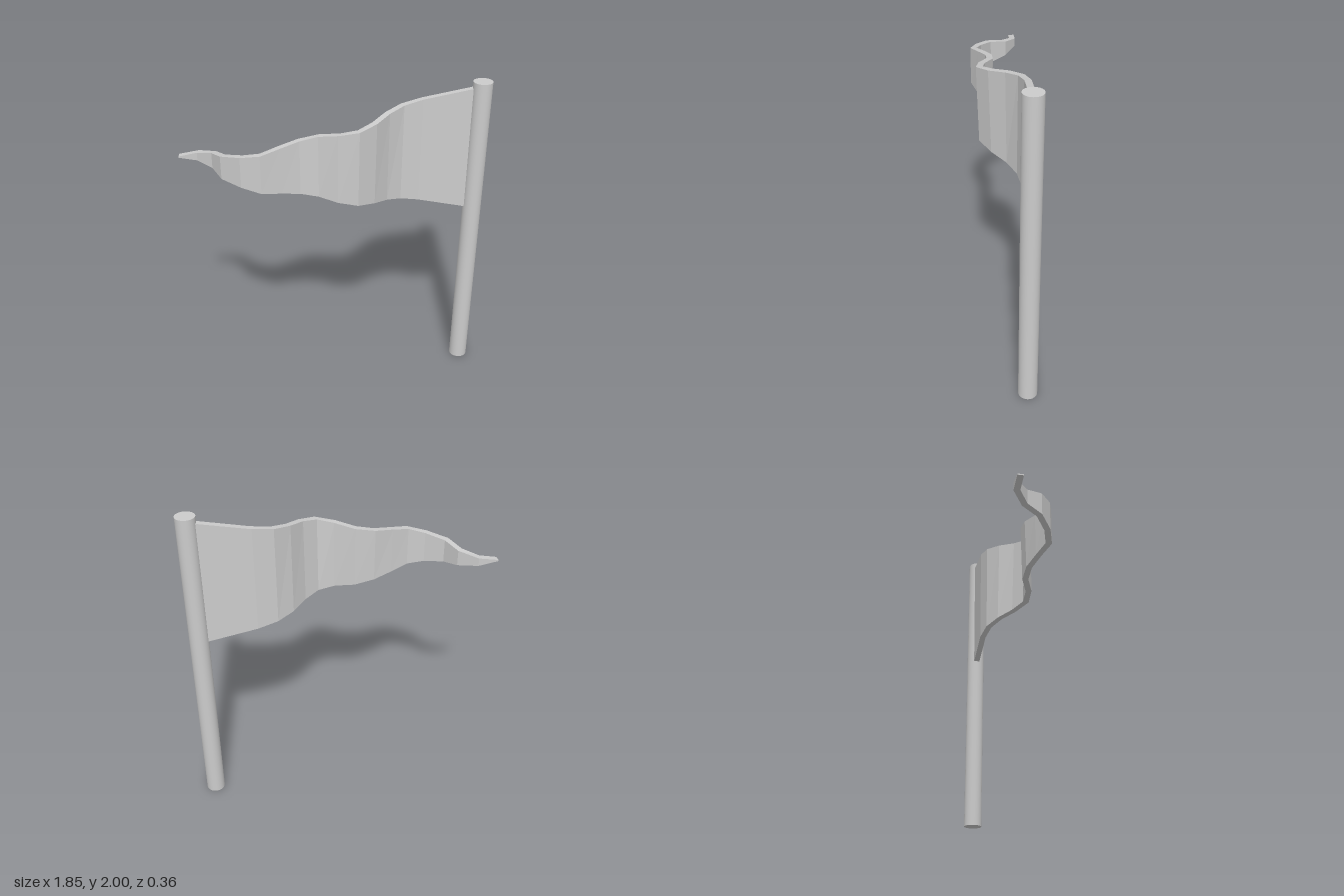
import * as THREE from 'three';

const HALF = 0.019; // half the cloth thickness

// Flag stations from the pole to the tip: x, z, top y, bottom y, z drift of the lower edge
const STATIONS = [
  [0.83, -0.037, 1.963, 1.181, 0.006],
  [0.52, -0.057, 1.902, 1.242, 0.004],
  [0.40, -0.04, 1.878, 1.266, 0.002],
  [0.30, 0.02, 1.856, 1.288, -0.008],
  [0.21, 0.104, 1.833, 1.313, -0.014],
  [0.11, 0.157, 1.81, 1.335, -0.012],
  [0.0, 0.132, 1.786, 1.357, 0.002],
  [-0.11, 0.073, 1.762, 1.379, 0.009],
  [-0.225, 0.068, 1.738, 1.403, 0.008],
  [-0.34, 0.102, 1.715, 1.427, 0.002],
  [-0.455, 0.137, 1.69, 1.451, 0],
  [-0.56, 0.097, 1.668, 1.477, 0],
  [-0.665, 0.018, 1.645, 1.5, 0],
  [-0.715, -0.085, 1.621, 1.524, 0],
  [-0.81, -0.157, 1.598, 1.548, 0],
  [-0.925, -0.165, 1.577, 1.569, 0],
];

// Four corners of the cloth at each station, offset along the mitred normal
function flagRings() {
  const mid = STATIONS.map(([x, z]) => new THREE.Vector2(x, z));
  return STATIONS.map(([x, z, top, bottom, drift], i) => {
    const last = mid.length - 1;
    const before = mid[Math.max(i, 1)].clone().sub(mid[Math.max(i, 1) - 1]).normalize();
    const j = Math.min(i, last - 1);
    const after = mid[j + 1].clone().sub(mid[j]).normalize();
    const t = before.clone().add(after).normalize();
    const h = HALF / t.dot(after);
    const nx = t.y * h, nz = -t.x * h;
    return [
      [x + nx, top, z + nz],
      [x - nx, top, z - nz],
      [x - nx, bottom, z - nz + drift],
      [x + nx, bottom, z + nz + drift],
    ];
  });
}

function flagGeometry() {
  const rings = flagRings();
  const positions = [];
  const quad = (a, b, c, d) => positions.push(...a, ...b, ...c, ...a, ...c, ...d);
  for (let i = 0; i < rings.length - 1; i++) {
    const p = rings[i], q = rings[i + 1];
    for (let k = 0; k < 4; k++) {
      const n = (k + 1) % 4;
      quad(q[k], p[k], p[n], q[n]);
    }
  }
  // End caps
  const [a, b, c, d] = rings[0];
  quad(d, c, b, a);
  quad(...rings[rings.length - 1]);
  const geometry = new THREE.BufferGeometry();
  geometry.setAttribute('position', new THREE.Float32BufferAttribute(positions, 3));
  geometry.computeVertexNormals();
  return geometry;
}

export function createModel() {
  const group = new THREE.Group();
  group.name = 'pennantFlag';

  // Round upright pole
  const pole = new THREE.Mesh(
    new THREE.CylinderGeometry(0.058, 0.058, 2, 32),
    new THREE.MeshStandardMaterial({ color: 0xcccccc })
  );
  pole.name = 'pole';
  pole.position.set(0.87, 1, -0.029);
  group.add(pole);

  // Rippling triangular cloth
  const flag = new THREE.Mesh(
    flagGeometry(),
    new THREE.MeshStandardMaterial({ color: 0xcccccc, flatShading: true })
  );
  flag.name = 'flag';
  group.add(flag);

  return group;
}
